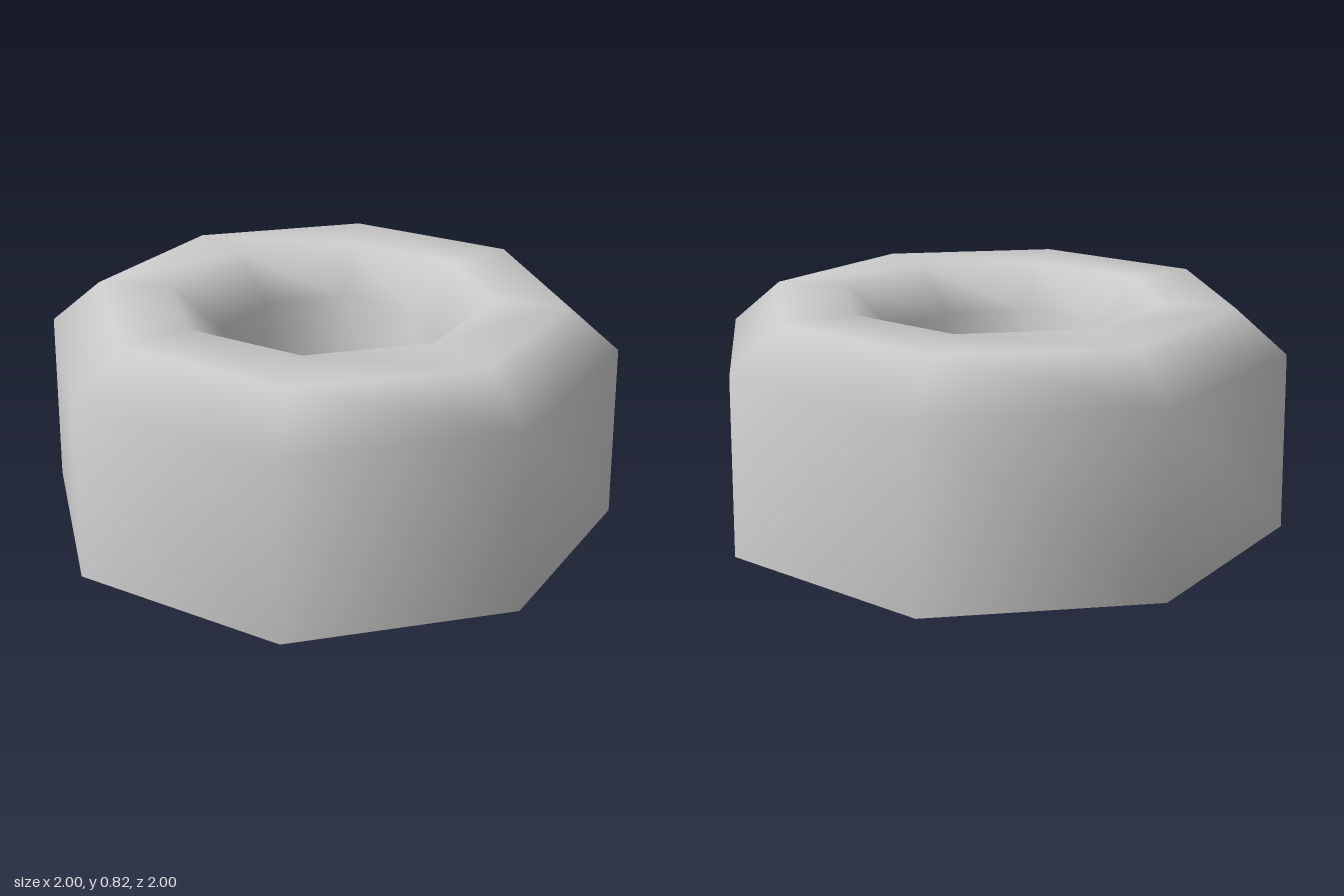
import * as THREE from 'three';

export function createModel() {
  const group = new THREE.Group();
  const grey = new THREE.MeshStandardMaterial({ color: 0xcccccc, side: THREE.DoubleSide });
  grey.name = 'light grey';

  // Profile as [distance to flat side, height]: outer wall, bevel, top, inner bevel, bore
  const profile = [
    [1, 0], [0.985, 0.66], [0.81, 0.82],
    [0.555, 0.82], [0.38, 0.66], [0.365, 0],
  ];
  const corner = 1 / Math.cos(Math.PI / 8);
  const points = profile.map(([r, y]) => new THREE.Vector2(r * corner, y));

  // Eight-sided ring shell, open underneath, flats facing the axes
  const ring = new THREE.Mesh(new THREE.LatheGeometry(points, 8, Math.PI / 8), grey);
  ring.name = 'ringShell';
  group.add(ring);
  return group;
}
